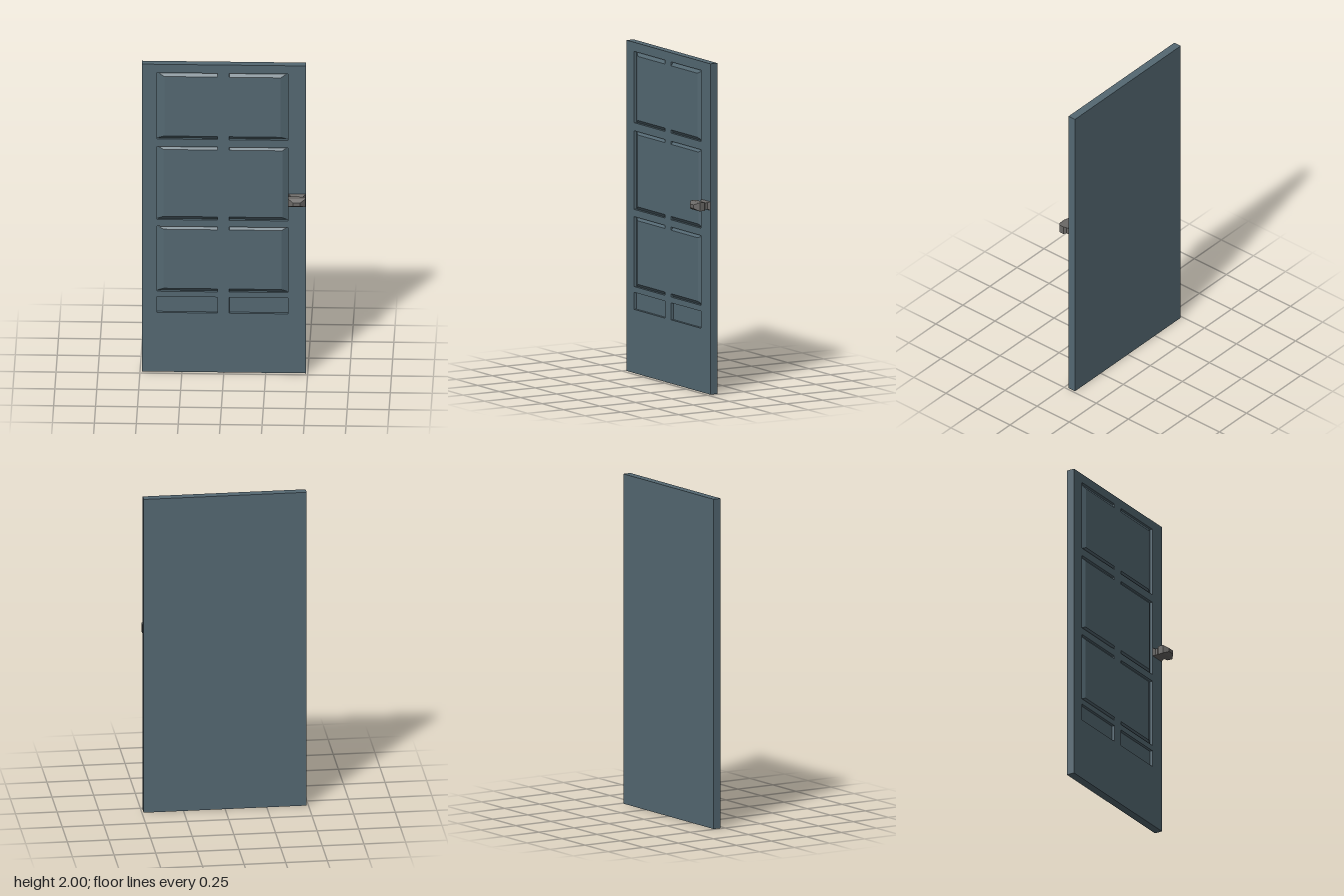
import * as THREE from 'three';

const FRONT = -0.025, FLOOR = -0.043, BACK = -0.075;
const LEFT = -0.4, RIGHT = 0.382, MID_L = -0.037, MID_R = 0.032;

// raised fields: outer bottom/top, inner bottom/top, inner left/right
const fields = [
  { y0: 1.514, y1: 1.945, b0: 1.534, b1: 1.921, x0: -0.355, x1: 0.339 },
  { y0: 0.99, y1: 1.465, b0: 1.011, b1: 1.446, x0: -0.36, x1: 0.349 },
  { y0: 0.523, y1: 0.946, b0: 0.543, b1: 0.927, x0: -0.36, x1: 0.344 },
];

// the two bracket-shaped grooves of a field, as matching outer and inner edges
function grooves(f) {
  return [
    {
      outer: [[MID_L, f.y1], [LEFT, f.y1], [LEFT, f.y0], [MID_L, f.y0]],
      inner: [[MID_L, f.b1], [f.x0, f.b1], [f.x0, f.b0], [MID_L, f.b0]],
    },
    {
      outer: [[MID_R, f.y0], [RIGHT, f.y0], [RIGHT, f.y1], [MID_R, f.y1]],
      inner: [[MID_R, f.b0], [f.x1, f.b0], [f.x1, f.b1], [MID_R, f.b1]],
    },
  ];
}

const toPoints = (list) => list.map(([x, y]) => new THREE.Vector2(x, y));
const rect = (x0, y0, x1, y1) => toPoints([[x0, y0], [x1, y0], [x1, y1], [x0, y1]]);

// slopes rising from the groove floor to the field
function bevelGeometry({ outer, inner }) {
  const pos = [];
  for (let i = 0; i < 3; i++) {
    const a = [...outer[i], FLOOR], b = [...outer[i + 1], FLOOR];
    const c = [...inner[i + 1], FRONT], d = [...inner[i], FRONT];
    pos.push(...a, ...b, ...c, ...a, ...c, ...d);
  }
  const geo = new THREE.BufferGeometry();
  geo.setAttribute('position', new THREE.Float32BufferAttribute(pos, 3));
  geo.computeVertexNormals();
  return geo;
}

export function createModel() {
  const group = new THREE.Group();
  const paint = new THREE.MeshStandardMaterial({ color: 0x546872, flatShading: true });
  const metal = new THREE.MeshStandardMaterial({ color: 0x6b6967, flatShading: true });

  const add = (name, geo, mat) => {
    const mesh = new THREE.Mesh(geo, mat);
    mesh.name = name;
    group.add(mesh);
    return mesh;
  };

  // solid back slab
  add('doorSlab', new THREE.BoxGeometry(0.978, 2, FLOOR - BACK), paint)
    .position.set(0, 1, (FLOOR + BACK) / 2);

  // front layer with grooves and low panels cut out
  const face = new THREE.Shape(rect(-0.489, 0, 0.489, 2));
  for (const f of fields) {
    for (const g of grooves(f)) {
      face.holes.push(new THREE.Path(toPoints([...g.outer, ...[...g.inner].reverse()])));
      add('fieldBevel', bevelGeometry(g), paint);
    }
  }
  for (const [x0, x1] of [[LEFT, MID_L], [MID_R, RIGHT]]) {
    face.holes.push(new THREE.Path(rect(x0, 0.385, x1, 0.488)));
  }
  add('doorFace', new THREE.ExtrudeGeometry(face, { depth: FRONT - FLOOR, bevelEnabled: false }), paint)
    .position.z = FLOOR;

  // four-sided flattened knob: half width and z
  const profile = [
    [0.052, -0.025], [0.04, -0.013], [0.04, 0.003],
    [0.052, 0.015], [0.052, 0.048], [0.022, 0.073], [0, 0.073],
  ].map(([r, z]) => new THREE.Vector2(r * Math.SQRT2, z));
  const knobGeo = new THREE.LatheGeometry(profile, 4, Math.PI / 4);
  knobGeo.rotateX(Math.PI / 2);
  knobGeo.scale(1, 0.5, 1);
  add('knob', knobGeo, metal).position.set(0.436, 1.14, 0);

  return group;
}
